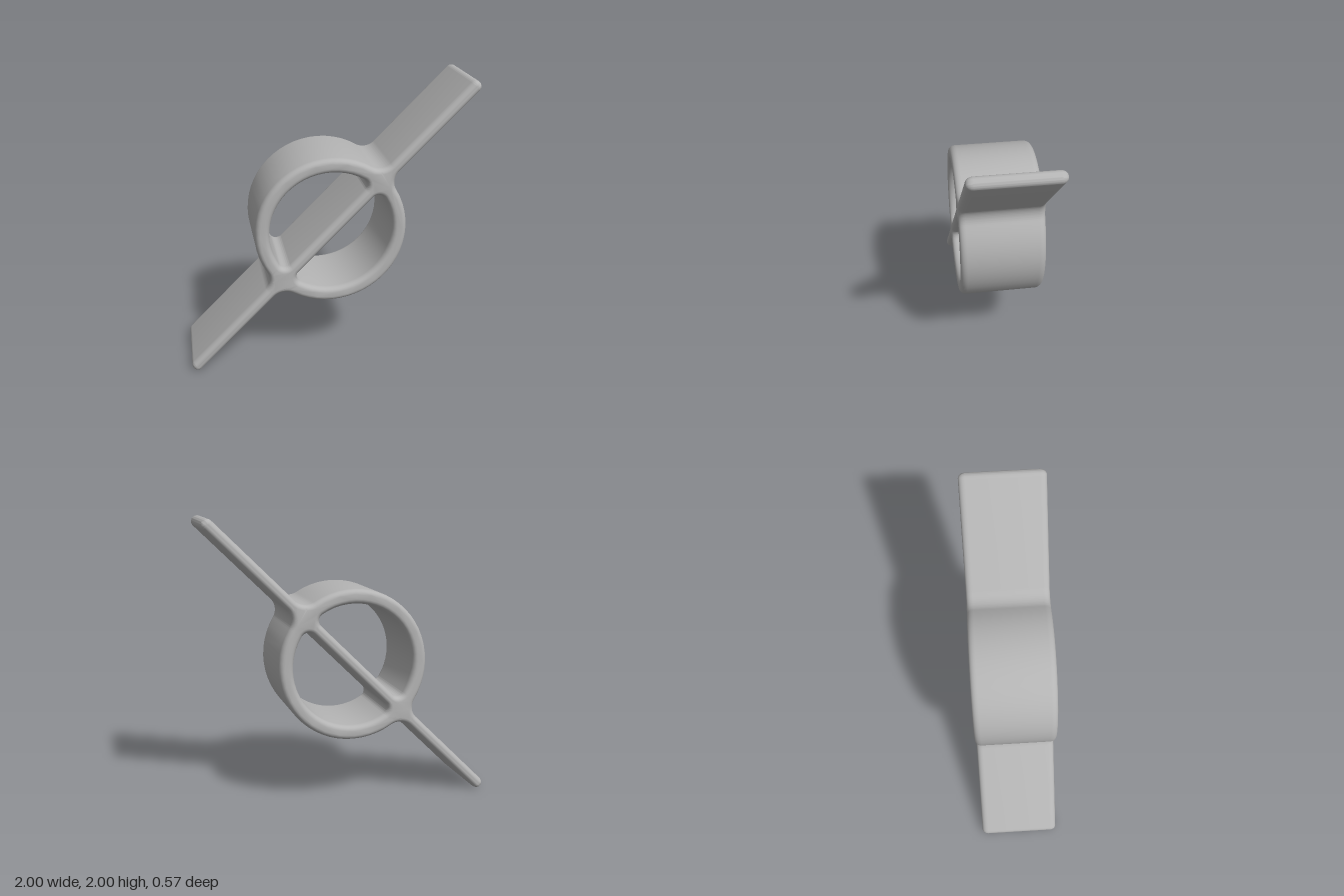
import * as THREE from 'three';
import { toCreasedNormals } from 'three/addons/utils/BufferGeometryUtils.js';

const HALF = 0.04;      // half thickness of the plate
const OUTER = 0.525;    // ring outer radius
const INNER = 0.425;    // ring inner radius
const END = 1.357;      // centre of the plate's rounded ends
const DEPTH = 0.285;    // half depth along z
const FILLET = 0.11;    // blend where the plate leaves the ring
const CORNER = 0.05;    // rounding inside the openings

export function createModel() {
  const grey = new THREE.MeshStandardMaterial({ color: 0xb4b4b4 });
  grey.name = 'grey';

  const shape = new THREE.Shape();
  const fv = HALF + FILLET, fu = Math.sqrt((OUTER + FILLET) ** 2 - fv * fv);
  const hv = HALF + CORNER, hu = Math.sqrt((INNER - CORNER) ** 2 - hv * hv);
  const a = Math.atan2(fv, fu), b = Math.atan2(hv, hu), Q = Math.PI / 2;

  // each half turn adds one plate end, half the ring and one opening
  for (const s of [1, -1]) {
    const t = s > 0 ? 0 : Math.PI;
    const arc = (path, x, y, r, from, to) =>
      path.absarc(s * x, s * y, r, from + t, to + t, to < from);
    arc(shape, END, 0, HALF, -Q, Q);
    arc(shape, fu, fv, FILLET, -Q, a - Math.PI);
    arc(shape, 0, 0, OUTER, a, Math.PI - a);
    arc(shape, -fu, fv, FILLET, -a, -Q);

    const opening = new THREE.Path();
    arc(opening, hu, hv, CORNER, -Q, b);
    arc(opening, 0, 0, INNER, b, Math.PI - b);
    arc(opening, -hu, hv, CORNER, Math.PI - b, 3 * Q);
    opening.closePath();
    shape.holes.push(opening);
  }
  shape.closePath();

  // rounded front and back rims
  const size = 0.034, thick = 0.045;
  const geometry = new THREE.ExtrudeGeometry(shape, {
    depth: 2 * (DEPTH - thick), curveSegments: 12,
    bevelEnabled: true, bevelSize: size, bevelOffset: -size,
    bevelThickness: thick, bevelSegments: 5,
  });
  geometry.translate(0, 0, -(DEPTH - thick));

  const body = new THREE.Mesh(toCreasedNormals(geometry, 0.9), grey);
  body.name = 'ringWithDiagonalPlate';
  body.rotation.z = Math.PI / 4;
  body.position.y = 1;

  const group = new THREE.Group();
  group.name = 'ringAndPlate';
  group.add(body);
  return group;
}
